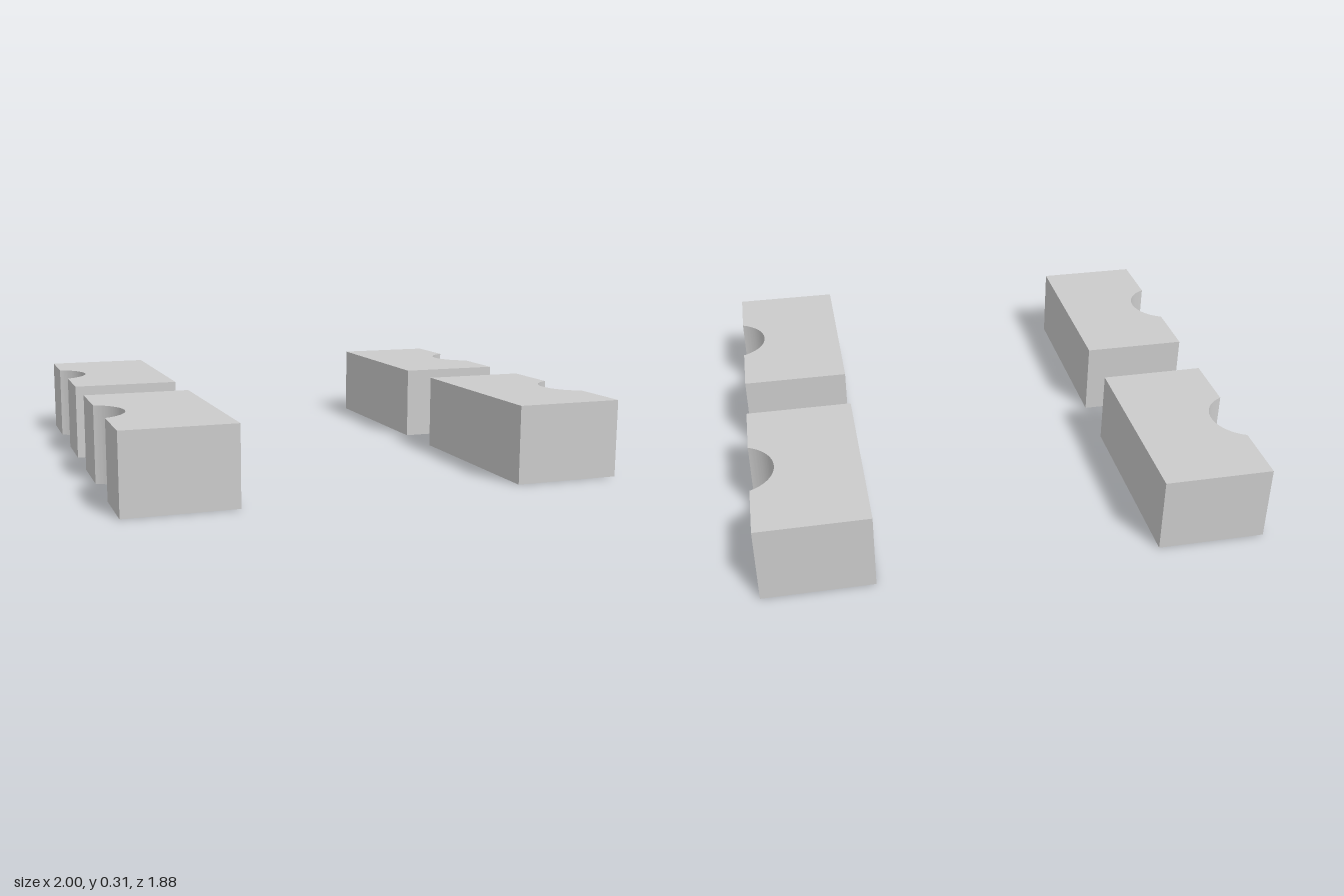
import * as THREE from 'three';
import { toCreasedNormals } from 'three/addons/utils/BufferGeometryUtils.js';

const HEIGHT = 0.3125;
const INNER = 0.5625, OUTER = 1; // block extent in x
const HALF_LENGTH = 0.40625, CENTRE_Z = 0.53125;
const NOTCH_X = 1.0625, NOTCH_R = 0.16;

// Rectangular block with a round vertical notch in its outer side
function blockGeometry() {
  const a = Math.acos((NOTCH_X - OUTER) / NOTCH_R);
  const outline = new THREE.Shape();
  outline.moveTo(INNER, -HALF_LENGTH);
  outline.lineTo(OUTER, -HALF_LENGTH);
  outline.absarc(NOTCH_X, 0, NOTCH_R, Math.PI + a, Math.PI - a, true);
  outline.lineTo(OUTER, HALF_LENGTH);
  outline.lineTo(INNER, HALF_LENGTH);
  outline.closePath();
  const geometry = new THREE.ExtrudeGeometry(outline, {
    depth: HEIGHT, bevelEnabled: false, curveSegments: 32,
  });
  geometry.rotateX(-Math.PI / 2);
  return toCreasedNormals(geometry, 0.5);
}

export function createModel() {
  const model = new THREE.Group();
  model.name = 'notchedBlocks';
  const geometry = blockGeometry();
  const material = new THREE.MeshStandardMaterial({ color: 0xcccccc });

  // Four blocks, notches facing outwards
  for (const [side, turn] of [['Left', 0], ['Right', Math.PI]]) {
    for (const [end, z] of [['front', CENTRE_Z], ['back', -CENTRE_Z]]) {
      const block = new THREE.Mesh(geometry, material);
      block.name = `${end}${side}Block`;
      block.rotation.y = turn;
      block.position.z = z;
      model.add(block);
    }
  }
  return model;
}
